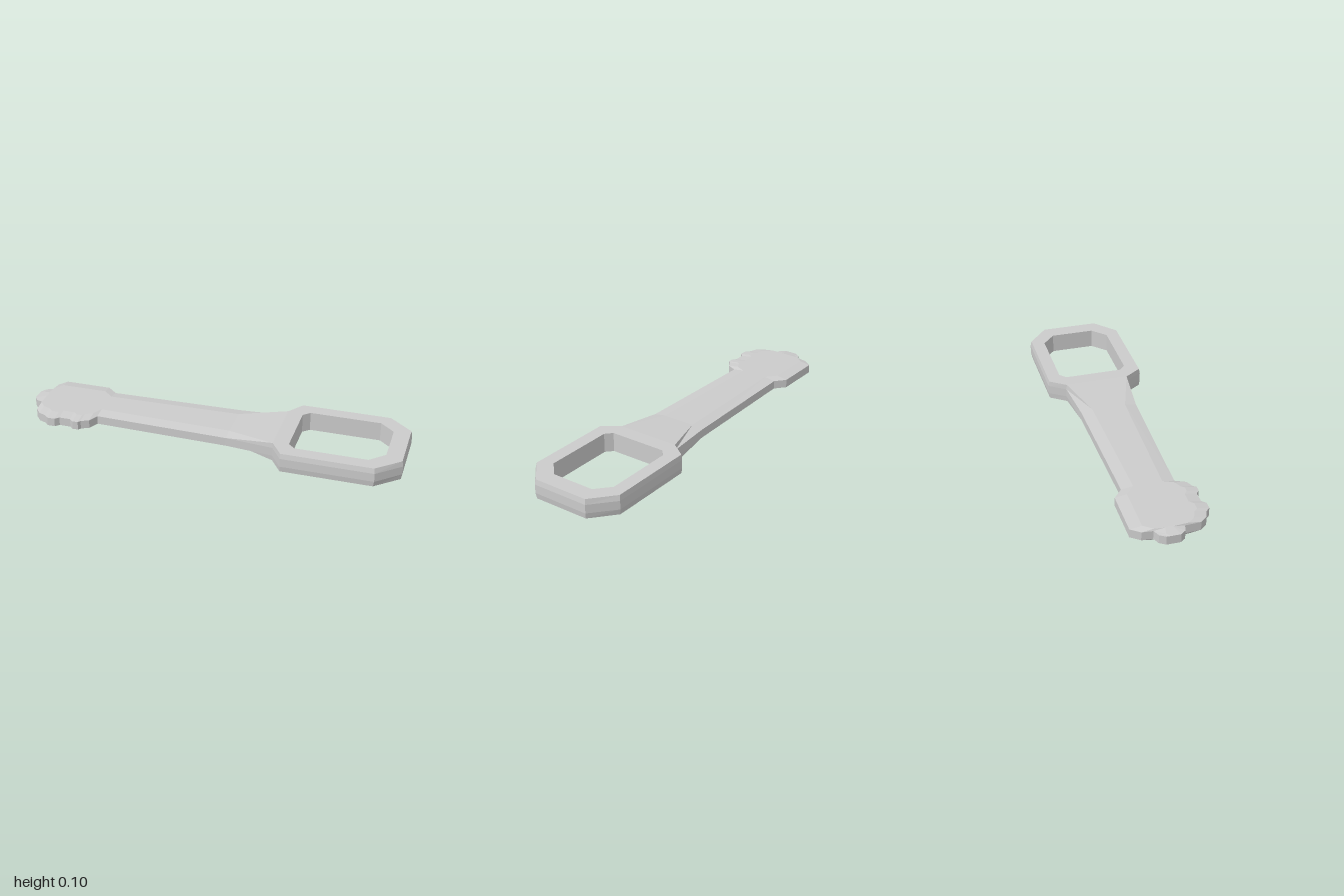
import * as THREE from 'three';

const EDGE_LOW = 0.03, EDGE_HIGH = 0.075, TOP = 0.102;

// Piecewise-linear lookup in a list of [x, value]
function sample(list, x) {
  for (let i = 1; i < list.length; i++) {
    const [x0, v0] = list[i - 1], [x1, v1] = list[i];
    if (x <= x1) return v0 + (v1 - v0) * Math.max(0, (x - x0) / (x1 - x0));
  }
  return list[list.length - 1][1];
}

// Collects triangles and quads into a faceted mesh
class Faces {
  constructor() { this.data = []; }
  tri(a, b, c) { this.data.push(...a, ...b, ...c); }
  quad(a, b, c, d) { this.tri(a, b, c); this.tri(a, c, d); }
  mesh(name) {
    const geometry = new THREE.BufferGeometry();
    geometry.setAttribute('position', new THREE.Float32BufferAttribute(this.data, 3));
    geometry.computeVertexNormals();
    const material = new THREE.MeshStandardMaterial({ color: 0xcccccc, flatShading: true });
    const mesh = new THREE.Mesh(geometry, material);
    mesh.name = name;
    return mesh;
  }
}

// Outline of the shaft and its notched head, as [x, z] along each side
const frontSide = [
  [-1, 0.03], [-0.98, 0.055], [-0.945, 0.065], [-0.94, 0.145], [-0.91, 0.18], [-0.87, 0.195],
  [-0.85, 0.215], [-0.81, 0.215], [-0.79, 0.195], [-0.73, 0.195], [-0.71, 0.212], [-0.68, 0.212],
  [-0.67, 0.197], [-0.63, 0.178], [-0.605, 0.125], [0.1, 0.143], [0.35, 0.167],
];
const backSide = [
  [-1, -0.04], [-0.98, -0.07], [-0.945, -0.085], [-0.94, -0.14], [-0.905, -0.186],
  [-0.66, -0.186], [-0.605, -0.14], [0.1, -0.155], [0.35, -0.175],
];
// Heights of the raised middle and how far it sits in from the edge
const highs = [[-1, 0.075], [-0.94, 0.084], [0.1, 0.085], [0.35, TOP]];
const lows = [[-1, 0.03], [-0.94, 0.021], [0.1, 0.02], [0.35, 0]];
const insets = [[-1, 0.02], [-0.94, 0.06], [0.1, 0.06], [0.35, 0.0035]];

// Shaft: eight-sided sections lofted along x
function makeShaft() {
  const stations = [...new Set([...frontSide, ...backSide].map((p) => p[0]))].sort((a, b) => a - b);
  const sections = stations.map((x) => {
    const f = sample(frontSide, x), b = sample(backSide, x);
    const hi = sample(highs, x), lo = sample(lows, x), c = sample(insets, x);
    return [
      [x, EDGE_LOW, f], [x, EDGE_HIGH, f], [x, hi, f - c], [x, hi, b + c],
      [x, EDGE_HIGH, b], [x, EDGE_LOW, b], [x, lo, b + c], [x, lo, f - c],
    ];
  });
  const faces = new Faces();
  for (let s = 1; s < sections.length; s++) {
    const A = sections[s - 1], B = sections[s];
    for (let i = 0; i < 8; i++) {
      const j = (i + 1) % 8;
      faces.quad(A[i], B[i], B[j], A[j]);
    }
  }
  // Tip cap
  const tip = sections[0];
  for (let i = 1; i < 7; i++) faces.tri(tip[0], tip[i], tip[i + 1]);
  return faces.mesh('shaft');
}

// Ring handle: chamfered frame with slightly bulged outer walls
function makeHandle() {
  const outer = [
    [0.35, 0.167], [0.41, 0.257], [0.88, 0.257], [1, 0.15],
    [1, -0.155], [0.88, -0.26], [0.41, -0.26], [0.35, -0.175],
  ];
  const hole = [
    [0.43, -0.155], [0.465, -0.187], [0.835, -0.187], [0.91, -0.12],
    [0.91, 0.11], [0.835, 0.182], [0.465, 0.182], [0.43, 0.15],
  ];
  const inner = outer.map(([x, z]) => [x > 0.5 ? x - 0.005 : x, z * 0.98]);
  const at = ([x, z], y) => [x, y, z];
  const faces = new Faces();

  // Outer walls, left open where the shaft joins
  const levels = [[inner, 0], [outer, EDGE_LOW], [outer, EDGE_HIGH], [inner, TOP]];
  for (let k = 1; k < levels.length; k++) {
    const [p, y0] = levels[k - 1], [q, y1] = levels[k];
    for (let i = 0; i < outer.length - 1; i++) {
      faces.quad(at(p[i], y0), at(p[i + 1], y0), at(q[i + 1], y1), at(q[i], y1));
    }
  }
  // Hole walls
  hole.forEach((a, i) => {
    const b = hole[(i + 1) % hole.length];
    faces.quad(at(a, 0), at(b, 0), at(b, TOP), at(a, TOP));
  });
  // Flat top and underside
  const flat = (list) => list.map(([x, z]) => new THREE.Vector2(x, -z));
  const all = [...inner, ...hole];
  for (const [a, b, c] of THREE.ShapeUtils.triangulateShape(flat(inner), [flat(hole)])) {
    faces.tri(at(all[a], TOP), at(all[b], TOP), at(all[c], TOP));
    faces.tri(at(all[c], 0), at(all[b], 0), at(all[a], 0));
  }
  return faces.mesh('ringHandle');
}

export function createModel() {
  const group = new THREE.Group();
  group.name = 'key';
  group.add(makeShaft(), makeHandle());
  return group;
}
